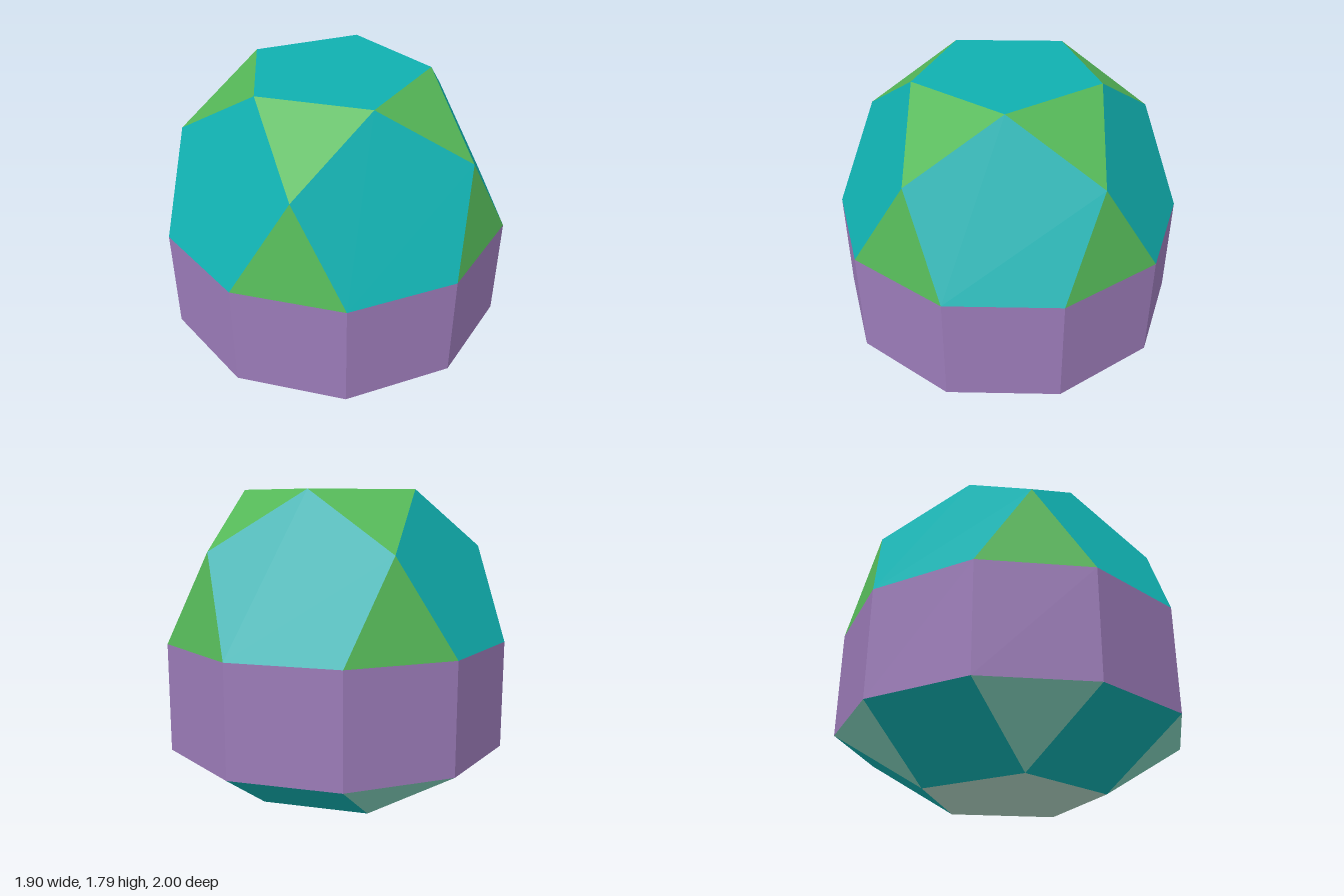
import * as THREE from 'three';

const mat = (name, color) => {
  const m = new THREE.MeshStandardMaterial({ color });
  m.name = name;
  return m;
};

// Point on a horizontal ring; the angle runs from +z towards +x.
const ring = (radius, y, startDeg, count) => (k) => {
  const a = THREE.MathUtils.degToRad(startDeg + (360 / count) * k);
  return new THREE.Vector3(radius * Math.sin(a), y, radius * Math.cos(a));
};

// Flat-faced mesh from convex polygons, each wound to face away from the centre.
function facetMesh(name, faces, material) {
  const centre = new THREE.Vector3(0, 0.9, 0);
  const pts = [];
  for (const face of faces) {
    const [a, b, c] = face;
    const normal = b.clone().sub(a).cross(c.clone().sub(a));
    const loop = normal.dot(a.clone().sub(centre)) > 0 ? face : [...face].reverse();
    for (let i = 1; i < loop.length - 1; i++) pts.push(loop[0], loop[i], loop[i + 1]);
  }
  const geometry = new THREE.BufferGeometry().setFromPoints(pts);
  geometry.computeVertexNormals();
  const mesh = new THREE.Mesh(geometry, material);
  mesh.name = name;
  return mesh;
}

export function createModel() {
  const teal = mat('teal', 0x10b0b0);
  const green = mat('green', 0x55b858);
  const purple = mat('purple', 0x9b7bb8);
  const mint = mat('mint', 0x84d4be);
  const paleSage = mat('pale sage', 0xb4dac8);

  // Rings of corners, all joined by edges of one length
  const edge = (Math.sqrt(5) - 1) / 2;
  const y1 = 0.325, y2 = y1 + edge, y3 = y2 + 0.5257, y4 = y2 + 0.8507;
  const base = ring(0.5257, 0, 18, 5);
  const lower = ring(1, y1, 0, 10);
  const upper = ring(1, y2, 0, 10);
  const shoulder = ring(0.8507, y3, 18, 5);
  const crown = ring(0.5257, y4, -18, 5);
  const five = [0, 1, 2, 3, 4];
  const each = (fn) => five.map(fn);

  const dome = new THREE.Group();
  dome.name = 'dome';
  dome.add(
    facetMesh('topPentagon', [each(crown)], teal),
    facetMesh('domePentagons', each((k) =>
      [upper(2 * k - 1), upper(2 * k), shoulder(k), crown(k), shoulder(k - 1)]), teal),
    facetMesh('domeLowerTriangles', each((k) => [upper(2 * k), upper(2 * k + 1), shoulder(k)]), green),
    facetMesh('domeUpperTriangles', each((k) => [shoulder(k), crown(k), crown(k + 1)]), green),
  );

  // Ring of ten squares
  const band = facetMesh('bandSquares', [...Array(10).keys()].map((k) =>
    [lower(k), lower(k + 1), upper(k + 1), upper(k)]), purple);

  const cup = new THREE.Group();
  cup.name = 'cup';
  cup.add(
    facetMesh('cupSquares', each((k) => [lower(2 * k - 1), lower(2 * k), base(k), base(k - 1)]), teal),
    facetMesh('cupTriangles', each((k) => [lower(2 * k), lower(2 * k + 1), base(k)]), mint),
    facetMesh('bottomPentagon', [each(base)], paleSage),
  );

  const model = new THREE.Group();
  model.name = 'polyhedron';
  model.add(dome, band, cup);
  return model;
}
